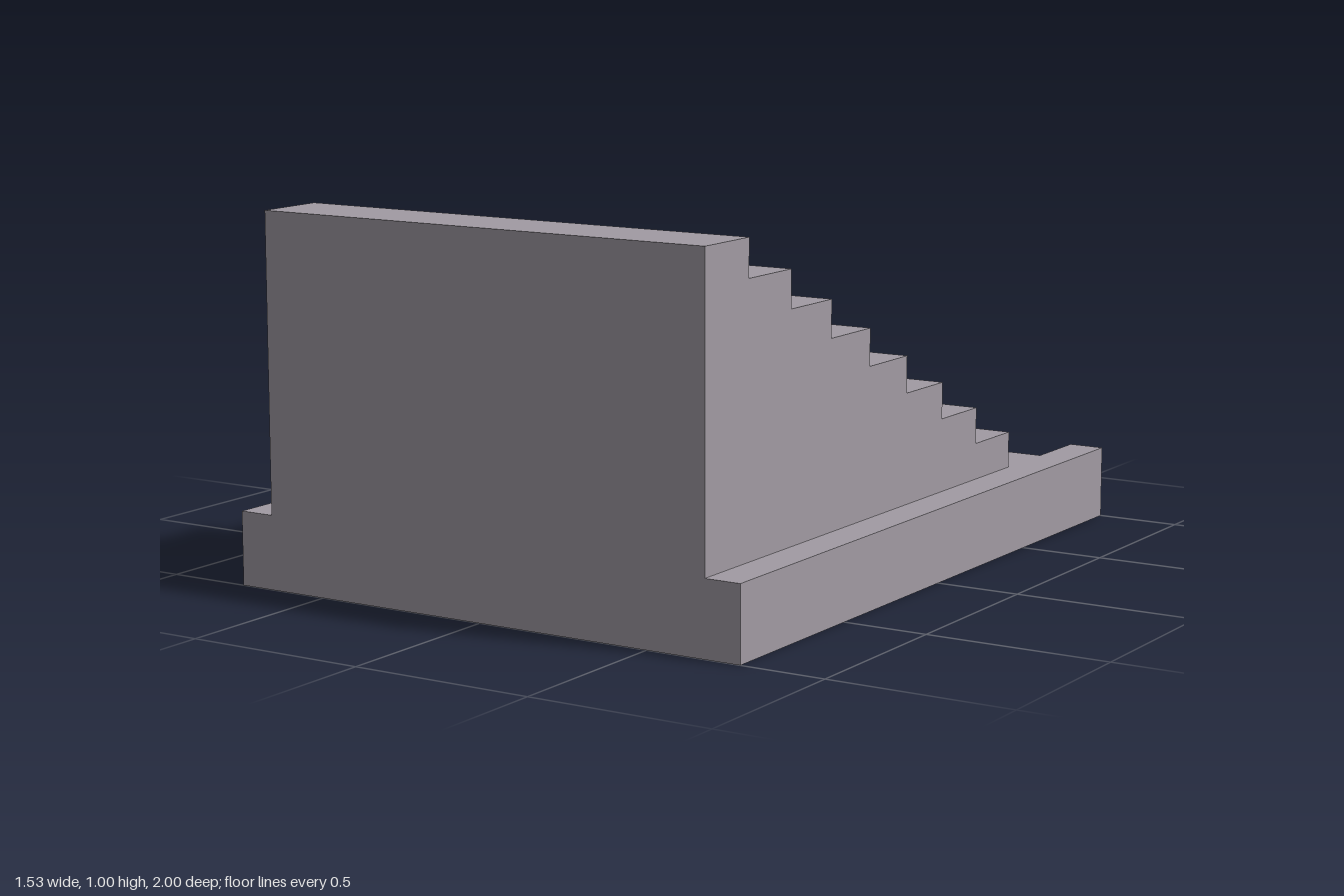
import * as THREE from 'three';

const STEPS = 10;
const RISE = 0.1;
const TREAD = 0.2;
const STAIR_WIDTH = 1.334;
const CURB_WIDTH = 0.1;

export function createModel() {
  const model = new THREE.Group();
  model.name = 'staircase';
  const stone = new THREE.MeshStandardMaterial({ color: 0xa19ba3 });
  stone.name = 'warm grey stone';

  // Stepped side profile (z, y), climbing from the back to the front
  const profile = new THREE.Shape();
  profile.moveTo(1, 0);
  profile.lineTo(1, STEPS * RISE);
  for (let i = STEPS; i > 0; i--) {
    const z = 1 - (STEPS + 1 - i) * TREAD;
    profile.lineTo(z, i * RISE);
    profile.lineTo(z, (i - 1) * RISE);
  }
  profile.closePath();

  // Solid flight of steps
  const flight = new THREE.ExtrudeGeometry(profile, { depth: STAIR_WIDTH, bevelEnabled: false });
  flight.translate(0, 0, -STAIR_WIDTH / 2);
  flight.rotateY(-Math.PI / 2);
  const steps = new THREE.Mesh(flight, stone);
  steps.name = 'steps';
  model.add(steps);

  // Low curb along each side, level with the second step
  for (const side of [-1, 1]) {
    const curb = new THREE.Mesh(new THREE.BoxGeometry(CURB_WIDTH, 2 * RISE, 2), stone);
    curb.name = side > 0 ? 'leftCurb' : 'rightCurb';
    curb.position.set(side * (STAIR_WIDTH + CURB_WIDTH) / 2, RISE, 0);
    model.add(curb);
  }
  return model;
}
